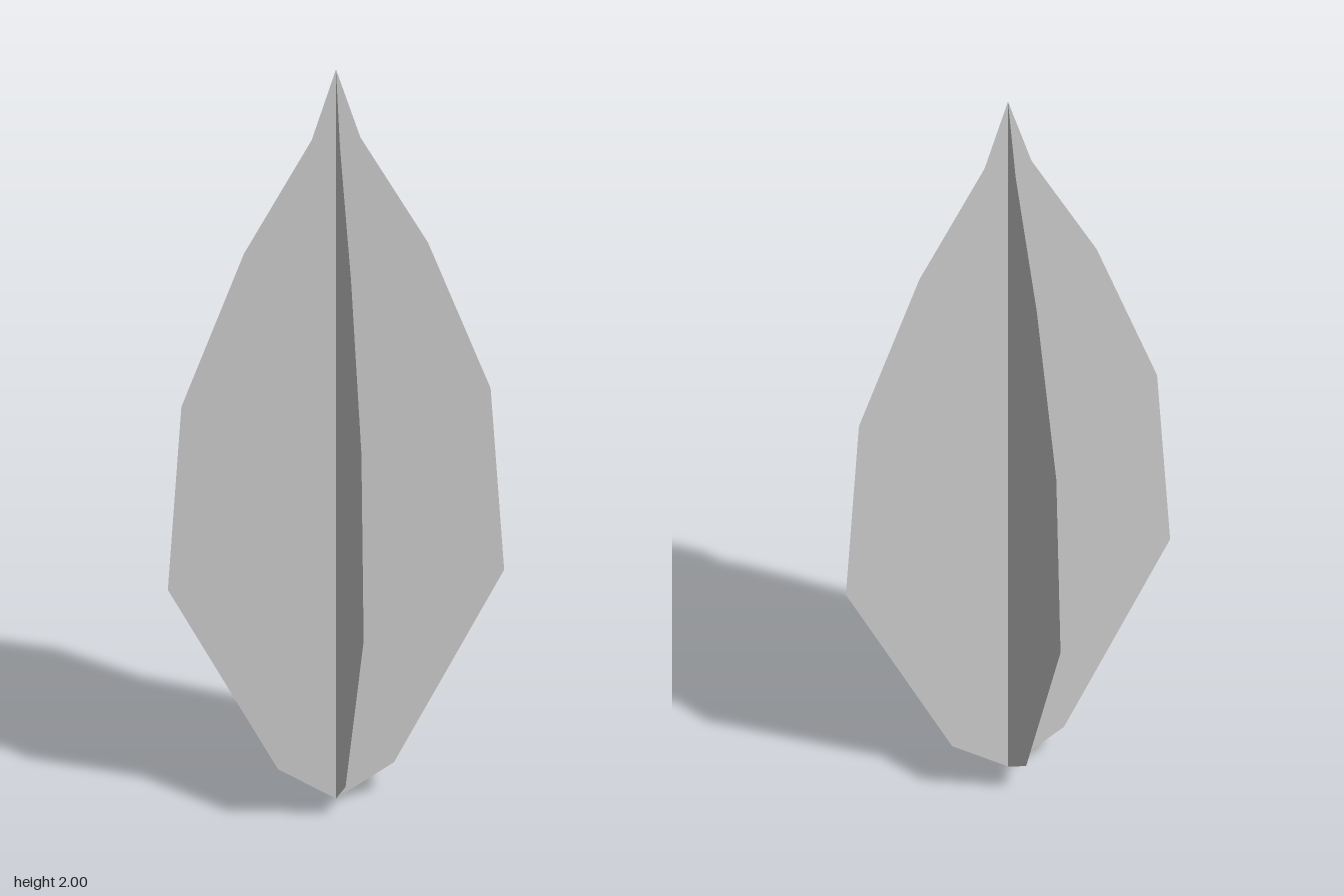
import * as THREE from 'three';

// Right half of the leaf outline, from base to tip
const HALF = [[0.15, 0.09], [0.435, 0.6], [0.4, 1.1], [0.238, 1.51], [0.063, 1.81]];

function leafShape() {
  const right = HALF.map(([x, y]) => new THREE.Vector2(x, y));
  const left = HALF.map(([x, y]) => new THREE.Vector2(-x, y)).reverse();
  return new THREE.Shape([new THREE.Vector2(0, 0), ...right, new THREE.Vector2(0, 2), ...left]);
}

export function createModel() {
  const group = new THREE.Group();
  group.name = 'crossedLeaf';
  const material = new THREE.MeshStandardMaterial({
    color: 0xcccccc, flatShading: true, side: THREE.DoubleSide,
  });
  const geometry = new THREE.ShapeGeometry(leafShape());

  // Two flat blades crossing at right angles along the stem axis
  ['bladeAcross', 'bladeLengthwise'].forEach((name, i) => {
    const blade = new THREE.Mesh(geometry, material);
    blade.name = name;
    blade.rotation.y = i * Math.PI / 2;
    group.add(blade);
  });
  return group;
}
